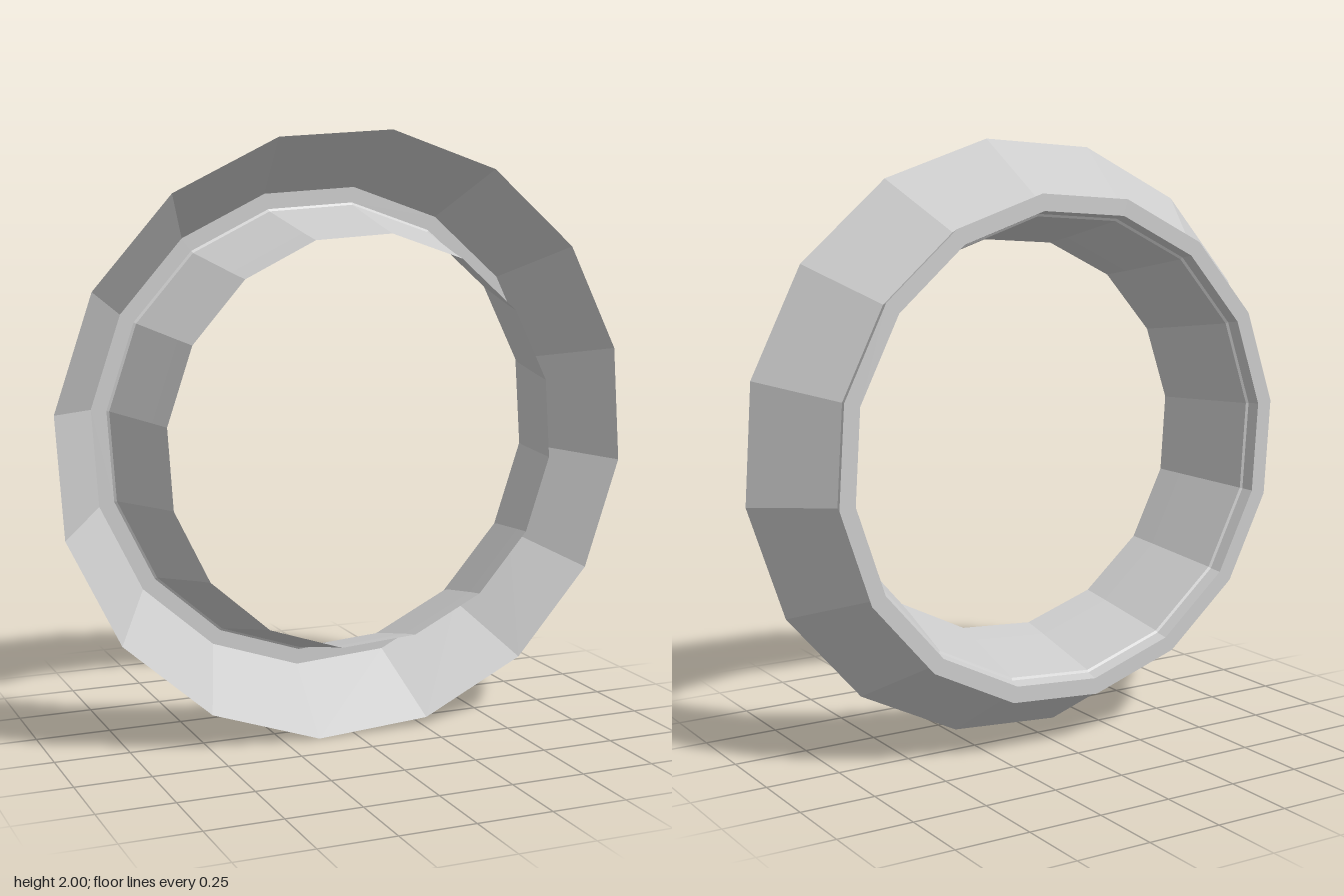
import * as THREE from 'three';

const SIDES = 16;
const START = THREE.MathUtils.degToRad(15.1); // rotation of the polygon ring

// Faceted ring turned around the z axis from [radius, z] points
function ring(name, profile) {
  const points = profile.map(([r, z]) => new THREE.Vector2(r, z));
  const geometry = new THREE.LatheGeometry(points, SIDES, START).rotateX(Math.PI / 2);
  const material = new THREE.MeshStandardMaterial({
    color: 0xcccccc, flatShading: true, side: THREE.DoubleSide,
  });
  const mesh = new THREE.Mesh(geometry, material);
  mesh.name = name;
  mesh.position.y = 1;
  return mesh;
}

export function createModel() {
  const group = new THREE.Group();
  group.name = 'flaredRing';

  // Inner tube, narrowing towards the front
  group.add(ring('innerTube', [[0.676, 0.2], [0.697, 0.107], [0.762, -0.155], [0.77, -0.16]]));

  // Wide thin collar, opening towards the front
  group.add(ring('flaredCollar', [[0.822, -0.16], [1.0084, 0.107]]));

  // Closed band at the back that joins tube and collar
  group.add(ring('backRim', [
    [0.77, -0.16], [0.822, -0.16], [0.835, -0.2], [0.78, -0.2], [0.77, -0.16],
  ]));

  return group;
}
